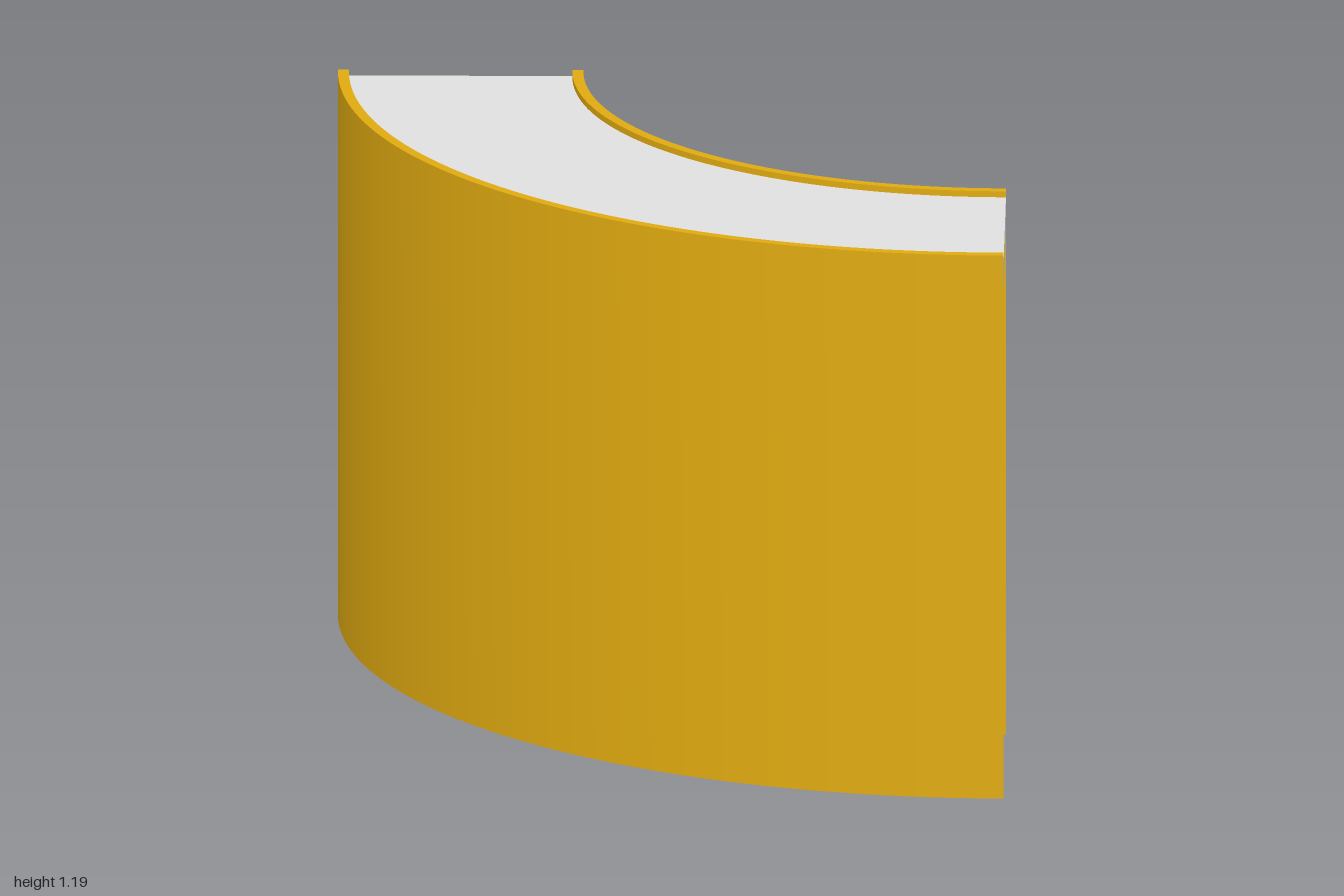
import * as THREE from 'three';
import { toCreasedNormals } from 'three/addons/utils/BufferGeometryUtils.js';

const CENTRE_X = 1.024; // axis of the quarter-circle bend
const HALF_ANGLE = Math.PI / 4;

// Curved slab between two radii, sweeping 90 degrees, from y0 up to y1
function arcSlab(name, inner, outer, y0, y1, material) {
  const shape = new THREE.Shape();
  shape.absarc(0, 0, outer, Math.PI - HALF_ANGLE, Math.PI + HALF_ANGLE, false);
  shape.absarc(0, 0, inner, Math.PI + HALF_ANGLE, Math.PI - HALF_ANGLE, true);
  shape.closePath();
  const extruded = new THREE.ExtrudeGeometry(shape, {
    depth: y1 - y0, bevelEnabled: false, curveSegments: 48,
  });
  extruded.rotateX(-Math.PI / 2);
  extruded.translate(CENTRE_X, y0, 0);
  const mesh = new THREE.Mesh(toCreasedNormals(extruded, 0.5), material);
  mesh.name = name;
  return mesh;
}

export function createModel() {
  const gold = new THREE.MeshStandardMaterial({ color: 0xe0aa10 });
  gold.name = 'gold';
  const lightGrey = new THREE.MeshStandardMaterial({ color: 0xe0e0e0 });
  lightGrey.name = 'light grey';

  const model = new THREE.Group();
  model.name = 'curvedCounter';
  model.add(
    // Two thin upright walls
    arcSlab('outerWall', 1.391, 1.414, 0, 1.187, gold),
    arcSlab('innerWall', 0.898, 0.921, 0, 1.187, gold),
    // Top slab set just below the wall rims
    arcSlab('topSlab', 0.921, 1.391, 1.105, 1.174, lightGrey),
  );
  return model;
}
